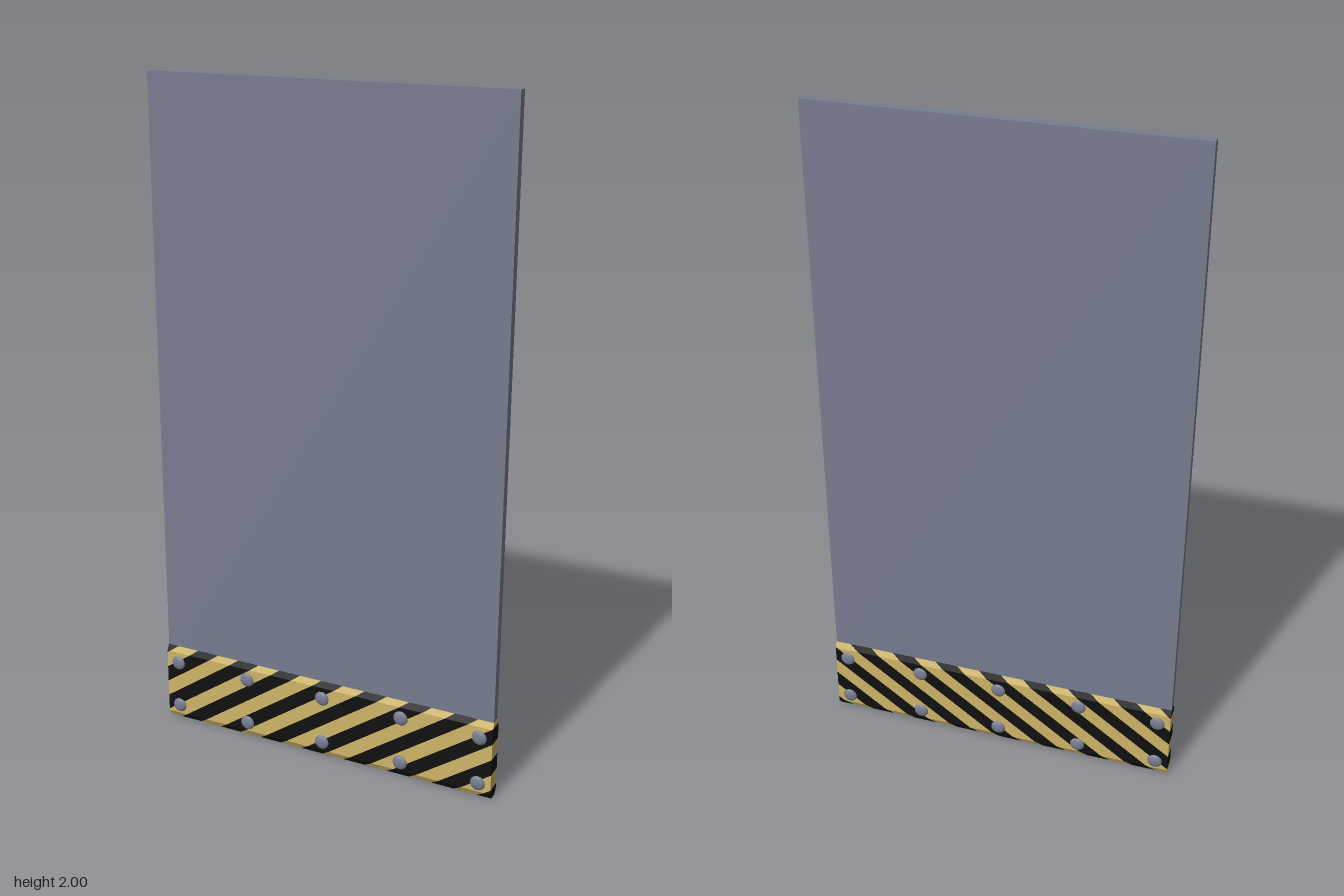
import * as THREE from 'three';

const W = 0.542;            // half width
const H = 0.247;            // height of the kick guard
const SLOPE = 0.7, PITCH = 0.1, START = -0.398; // diagonal stripes, pitch measured upwards

// Guard cross-section: [y, half depth]
const PROFILE = [[0, 0.013], [0.018, 0.023], [0.229, 0.023], [H, 0.014]];

// Keep the part of a polygon where f(x, y) >= 0
function clip(poly, f) {
  const out = [];
  poly.forEach((a, i) => {
    const b = poly[(i + 1) % poly.length];
    const fa = f(a), fb = f(b);
    if (fa >= 0) out.push(a);
    if (fa * fb < 0) {
      const t = fa / (fa - fb);
      out.push([a[0] + (b[0] - a[0]) * t, a[1] + (b[1] - a[1]) * t]);
    }
  });
  return out;
}

// All stripes of one colour: front, back and outer rim of the guard
function stripeGeometry(parity) {
  const pos = [];
  const tri = (...pts) => pts.forEach((p) => pos.push(...p));
  const near = (a, b, axis, v) => Math.abs(a[axis] - v) < 1e-6 && Math.abs(b[axis] - v) < 1e-6;

  for (let band = 0; band < PROFILE.length - 1; band++) {
    const [y0, z0] = PROFILE[band], [y1, z1] = PROFILE[band + 1];
    const depth = (y) => z0 + (z1 - z0) * (y - y0) / (y1 - y0);
    const front = (p) => [p[0], p[1], depth(p[1])];
    const back = (p) => [p[0], p[1], -depth(p[1])];

    for (let k = parity; k < 24; k += 2) {
      const lo = START + k * PITCH / 2, hi = lo + PITCH / 2;
      let poly = [[-W, y0], [W, y0], [W, y1], [-W, y1]];
      poly = clip(poly, ([x, y]) => y - SLOPE * x - lo);
      poly = clip(poly, ([x, y]) => hi - y + SLOPE * x);
      if (poly.length < 3) continue;

      for (let i = 1; i < poly.length - 1; i++) {
        tri(front(poly[0]), front(poly[i]), front(poly[i + 1]));
        tri(back(poly[0]), back(poly[i + 1]), back(poly[i]));
      }
      // close the rim where the stripe reaches the outside
      poly.forEach((a, i) => {
        const b = poly[(i + 1) % poly.length];
        if (near(a, b, 0, W) || near(a, b, 0, -W) || near(a, b, 1, 0) || near(a, b, 1, H)) {
          tri(front(a), back(a), back(b));
          tri(front(a), back(b), front(b));
        }
      });
    }
  }
  const g = new THREE.BufferGeometry();
  g.setAttribute('position', new THREE.Float32BufferAttribute(pos, 3));
  g.computeVertexNormals();
  return g;
}

function material(name, color) {
  const m = new THREE.MeshStandardMaterial({ color });
  m.name = name;
  return m;
}

export function createModel() {
  const model = new THREE.Group();
  model.name = 'door';
  const steel = material('blue grey steel', 0x777c90);
  const yellow = material('warning yellow', 0xceb568);
  const black = material('warning black', 0x101011);

  const add = (parent, name, geometry, mat) => {
    const mesh = new THREE.Mesh(geometry, mat);
    mesh.name = name;
    parent.add(mesh);
    return mesh;
  };

  // Tall flat panel
  const bottom = 0.2;
  const panel = add(model, 'panel', new THREE.BoxGeometry(2 * W - 0.002, 2 - bottom, 0.027), steel);
  panel.position.y = (2 + bottom) / 2;
  panel.scale.z = 0.98;

  // Striped guard wrapped round the bottom
  const guard = new THREE.Group();
  guard.name = 'kickGuard';
  model.add(guard);
  add(guard, 'blackStripes', stripeGeometry(0), black);
  add(guard, 'yellowStripes', stripeGeometry(1), yellow);

  // Domed bolts on both faces
  const bolts = new THREE.Group();
  bolts.name = 'bolts';
  model.add(bolts);
  const dome = new THREE.SphereGeometry(0.023, 16, 6, 0, Math.PI * 2, 0, Math.PI / 2);
  dome.scale(1, 0.42, 1);
  dome.rotateX(Math.PI / 2);
  for (const side of [1, -1]) {
    for (const y of [0.046, 0.194]) {
      for (const x of [-0.502, -0.257, 0, 0.257, 0.502]) {
        const bolt = add(bolts, side > 0 ? 'frontBolt' : 'backBolt', dome, steel);
        bolt.position.set(x, y, side * 0.0225);
        if (side < 0) bolt.rotation.y = Math.PI;
      }
    }
  }
  return model;
}
